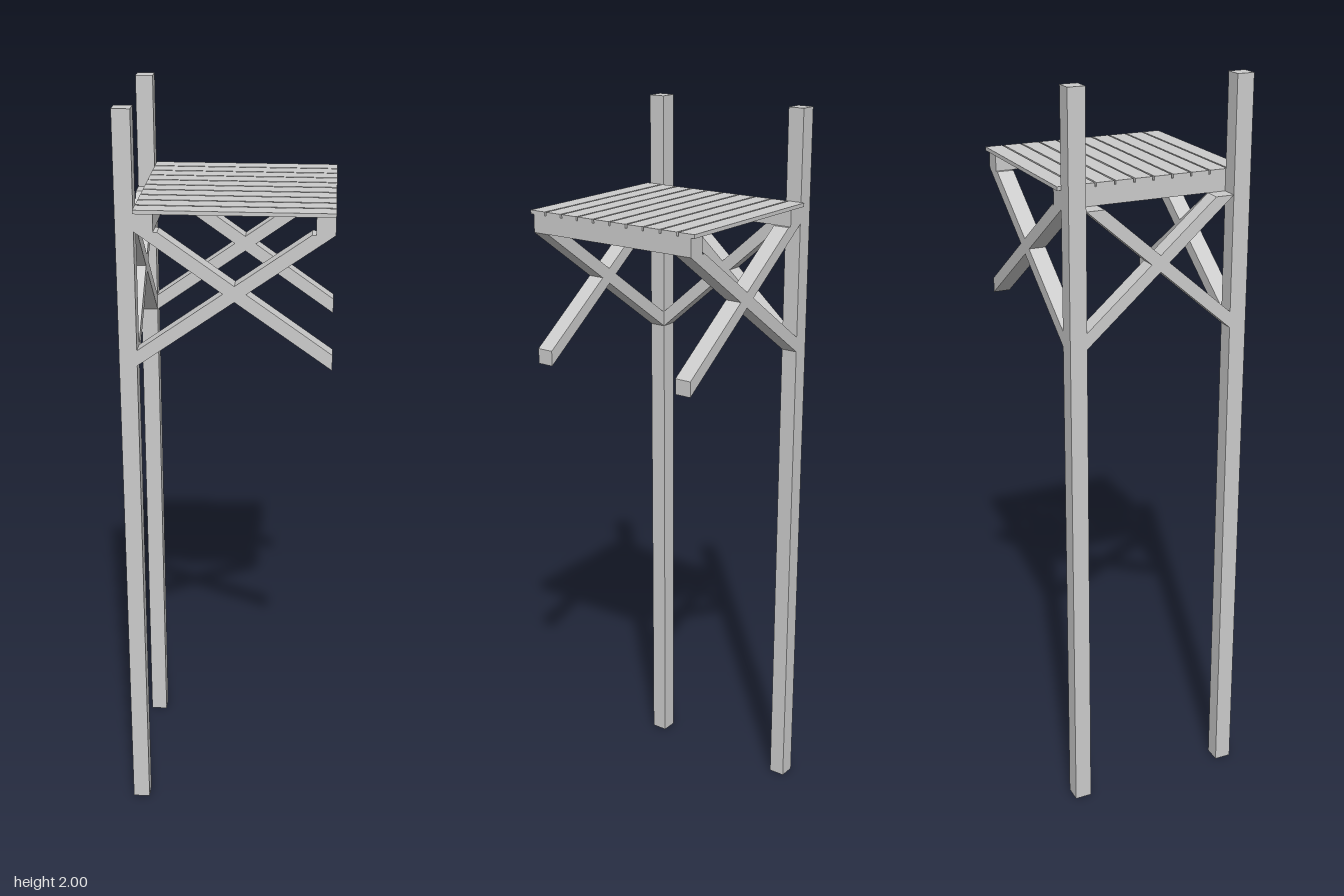
import * as THREE from 'three';

const T = 0.046;                      // square timber size
const POST_Z = 0.225;                 // post centre line
const INNER_X = -0.225, OUTER_X = 0.271;
const BEAM_BOTTOM = 1.701, DECK_BOTTOM = 1.748, DECK_TOP = 1.758;
const BRACE_LOW = 1.35, BRACE_H = 0.041;

const material = new THREE.MeshStandardMaterial({ color: 0xcccccc, flatShading: true });

export function createModel() {
  const model = new THREE.Group();
  model.name = 'raisedPlatform';

  function add(name, geometry) {
    const mesh = new THREE.Mesh(geometry, material);
    mesh.name = name;
    model.add(mesh);
    return mesh;
  }

  // Box given by its limits on each axis
  function box(name, x0, x1, y0, y1, z0, z1) {
    add(name, new THREE.BoxGeometry(x1 - x0, y1 - y0, z1 - z0))
      .position.set((x0 + x1) / 2, (y0 + y1) / 2, (z0 + z1) / 2);
  }

  // Diagonal timber from a to b: plumb cut below, level cut under the beam
  function braceGeometry(a, b, h) {
    const slope = (BEAM_BOTTOM - BRACE_LOW) / Math.abs(b - a);
    const cut = a + Math.sign(b - a) * (BEAM_BOTTOM - BRACE_LOW - h) / slope;
    const points = [[a, BRACE_LOW], [b, BEAM_BOTTOM], [cut, BEAM_BOTTOM], [a, BRACE_LOW + h]];
    const shape = new THREE.Shape(points.map(([u, v]) => new THREE.Vector2(u, v)));
    return new THREE.ExtrudeGeometry(shape, { depth: T, bevelEnabled: false })
      .translate(0, 0, -T / 2);
  }

  for (const side of [-1, 1]) {
    const z = side * POST_Z;
    // Tall post
    box('post', -0.271, INNER_X, 0, 2, z - T / 2, z + T / 2);

    // Crossed braces under each side of the deck
    add('sideBraceRising', braceGeometry(INNER_X, OUTER_X, BRACE_H)).position.z = z;
    add('sideBraceFalling', braceGeometry(OUTER_X, INNER_X, BRACE_H)).position.z = z;

    // Crossed brace between the posts
    const inner = POST_Z - T / 2;
    const cross = add('postBrace', braceGeometry(-side * inner, side * inner, BRACE_H + 0.002));
    cross.rotation.y = -Math.PI / 2;
    cross.position.x = INNER_X - T / 2;
  }

  // Beams carrying the deck
  for (const x of [INNER_X, OUTER_X - 0.048]) {
    box('deckBeam', x, x + 0.048, BEAM_BOTTOM, DECK_BOTTOM, -POST_Z - T / 2, POST_Z + T / 2);
  }

  // Deck planks
  const count = 10, width = 0.047, half = 0.258;
  const pitch = (2 * half - width) / (count - 1);
  for (let i = 0; i < count; i++) {
    const z = -half + i * pitch;
    box('deckPlank', INNER_X, OUTER_X, DECK_BOTTOM, DECK_TOP, z, z + width);
  }

  return model;
}
